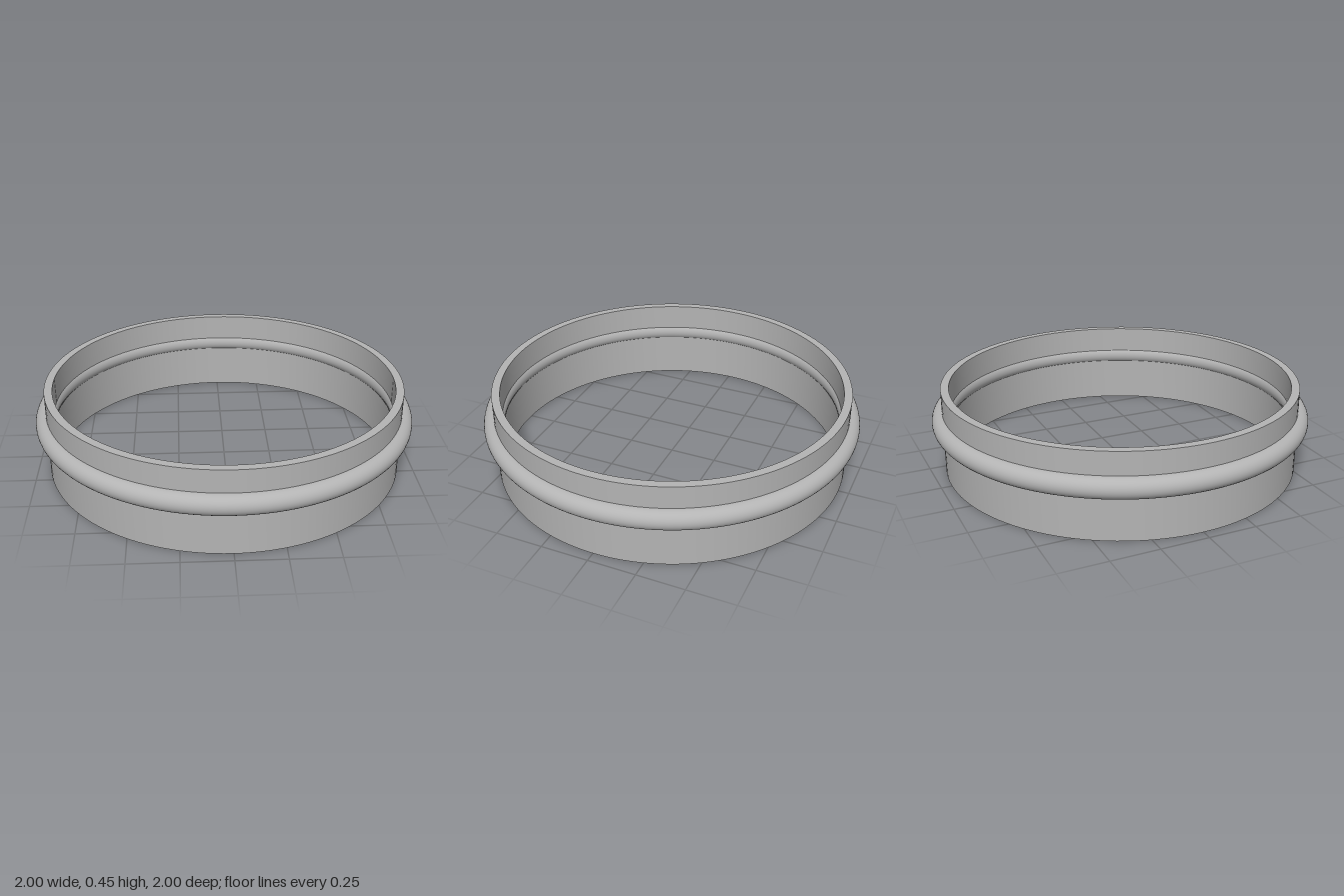
import * as THREE from 'three';
import { toCreasedNormals } from 'three/addons/utils/BufferGeometryUtils.js';

const OUTER = 0.945, INNER = 0.902, HEIGHT = 0.45;
const BEAD_Y = 0.275, BEAD_RADIUS = 0.055;

export function createModel() {
  const group = new THREE.Group();
  group.name = 'beadedRing';
  const grey = new THREE.MeshStandardMaterial({ color: 0xb4b4b4 });
  grey.name = 'grey';

  // Straight-walled band: closed rectangular section, crisp rims
  const section = [
    [OUTER, 0], [OUTER, HEIGHT], [INNER, HEIGHT], [INNER, 0], [OUTER, 0],
  ].map(([r, y]) => new THREE.Vector2(r, y));
  const band = new THREE.Mesh(
    toCreasedNormals(new THREE.LatheGeometry(section, 128), Math.PI / 6), grey);
  band.name = 'band';
  group.add(band);

  // Round bead that bulges through both sides of the wall
  const beadGeometry = new THREE.TorusGeometry(1 - BEAD_RADIUS, BEAD_RADIUS, 32, 128);
  beadGeometry.rotateX(Math.PI / 2);
  const bead = new THREE.Mesh(beadGeometry, grey);
  bead.name = 'bead';
  bead.position.y = BEAD_Y;
  group.add(bead);

  return group;
}
